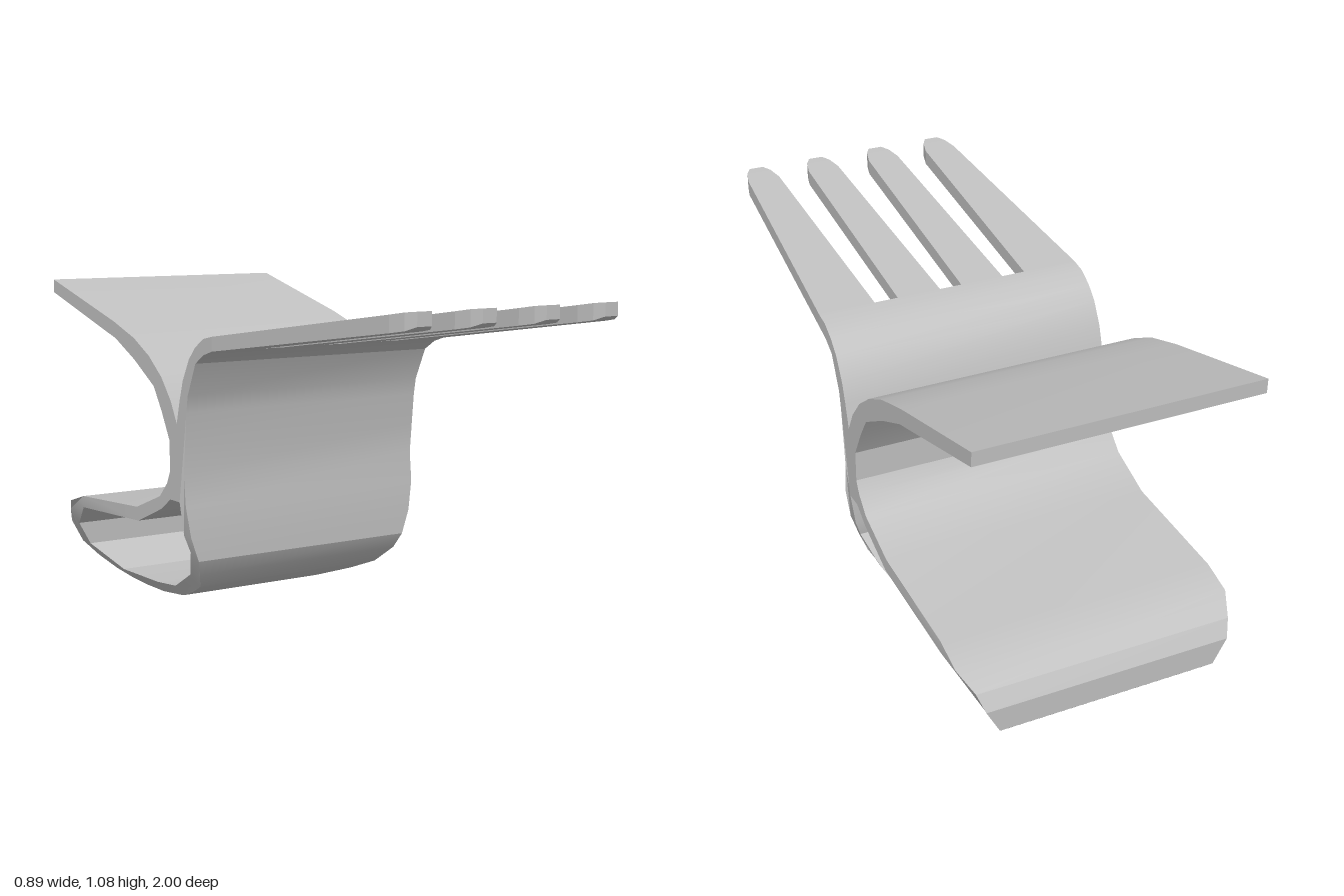
import * as THREE from 'three';
import { toCreasedNormals } from 'three/addons/utils/BufferGeometryUtils.js';

const HALF = 0.445;

// Half width of the sheet: full above, tapering towards the base
const TAPER = [[0, 0.25], [0.1, 0.34], [0.17, 0.385], [0.28, 0.425], [0.36, HALF]];
function halfWidth(y, z) {
  if (y > 0.27 && z < -0.2) return HALF;
  for (let i = 1; i < TAPER.length; i++) {
    const [y0, w0] = TAPER[i - 1], [y1, w1] = TAPER[i];
    if (y <= y1) return w0 + (w1 - w0) * Math.max(0, (y - y0) / (y1 - y0));
  }
  return HALF;
}

// Side outline (clockwise) and loop opening (counter-clockwise) as [z, y]
const OUTLINE = [
  [0.1, 0.95], [0.05, 0.94], [0, 0.91], [-0.04, 0.87], [-0.08, 0.8], [-0.1, 0.74], [-0.122, 0.66],
  [-0.16, 0.73], [-0.22, 0.8], [-0.3, 0.86], [-0.4, 0.91], [-0.54, 0.955], [-1, 1.075],
  [-1, 1.03], [-0.53, 0.9], [-0.4, 0.84], [-0.27, 0.765], [-0.22, 0.69], [-0.17, 0.6],
  [-0.17, 0.5], [-0.19, 0.46], [-0.24, 0.41], [-0.4, 0.35], [-0.8, 0.325], [-0.9, 0.295],
  [-0.97, 0.25], [-1, 0.2], [-1, 0.12], [-0.95, 0.07], [-0.88, 0.03], [-0.8, 0.01], [-0.7, 0],
  [-0.58, 0], [-0.4, 0.025], [-0.25, 0.075], [-0.15, 0.115], [-0.09, 0.17], [-0.065, 0.22],
  [-0.065, 0.3], [-0.07, 0.4], [-0.08, 0.5], [-0.07, 0.6], [-0.06, 0.7], [-0.05, 0.755],
  [0, 0.86], [0.05, 0.89], [0.1, 0.905],
];
const OPENING = [
  [-0.11, 0.3], [-0.1, 0.245], [-0.17, 0.155], [-0.39, 0.065], [-0.55, 0.045], [-0.81, 0.04],
  [-0.94, 0.12], [-0.94, 0.2], [-0.8, 0.285], [-0.39, 0.305], [-0.23, 0.37], [-0.17, 0.41],
  [-0.11, 0.41],
];

function bodyGeometry() {
  const toPoints = (list) => list.map(([z, y]) => new THREE.Vector2(-z, y));
  const shape = new THREE.Shape(toPoints(OUTLINE));
  shape.holes.push(new THREE.Path(toPoints(OPENING)));
  const geo = new THREE.ExtrudeGeometry(shape, { depth: 2 * HALF, bevelEnabled: false });
  geo.rotateY(Math.PI / 2).translate(-HALF, 0, 0);
  const p = geo.attributes.position;
  for (let i = 0; i < p.count; i++) {
    p.setX(i, Math.sign(p.getX(i)) * halfWidth(p.getY(i), p.getZ(i)));
  }
  return toCreasedNormals(geo, 0.45);
}

// Loft of rectangular sections [z, xMin, xMax, yBottom, yTop], closed at the tip
function loft(sections) {
  const verts = [];
  const rings = sections.map(([z, a, b, lo, hi]) => [[a, lo, z], [b, lo, z], [b, hi, z], [a, hi, z]]);
  const quad = (a, b, c, d) => verts.push(...a, ...b, ...c, ...a, ...c, ...d);
  for (let i = 1; i < rings.length; i++) {
    for (let k = 0; k < 4; k++) {
      const n = (k + 1) % 4;
      quad(rings[i - 1][k], rings[i - 1][n], rings[i][n], rings[i][k]);
    }
  }
  quad(...rings[rings.length - 1]);
  const geo = new THREE.BufferGeometry();
  geo.setAttribute('position', new THREE.Float32BufferAttribute(verts, 3));
  geo.computeVertexNormals();
  return geo;
}

// One tine from its root edges and its tip edges
function tineGeometry([r0, r1], [t0, t1]) {
  const mid = (t0 + t1) / 2;
  return loft([
    [0.1, r0, r1, 0.905, 0.95],
    [0.92, t0, t1, 1.015, 1.064],
    [0.97, mid - 0.042, mid + 0.042, 1.023, 1.072],
    [1, mid - 0.024, mid + 0.024, 1.035, 1.075],
  ]);
}

export function createModel() {
  const group = new THREE.Group();
  const grey = new THREE.MeshStandardMaterial({ color: 0xc0c0c0 });
  grey.name = 'grey';

  const add = (name, geo) => {
    const mesh = new THREE.Mesh(geo, grey);
    mesh.name = name;
    group.add(mesh);
  };

  add('foldedBody', bodyGeometry());

  // Two tines on each side
  for (const [side, s] of [['left', 1], ['right', -1]]) {
    const edges = (a, b) => (s > 0 ? [a, b] : [-b, -a]);
    add(side + 'InnerTine', tineGeometry(edges(0.037, 0.182), edges(0.058, 0.168)));
    add(side + 'OuterTine', tineGeometry(edges(0.26, HALF), edges(0.277, 0.388)));
  }
  return group;
}
